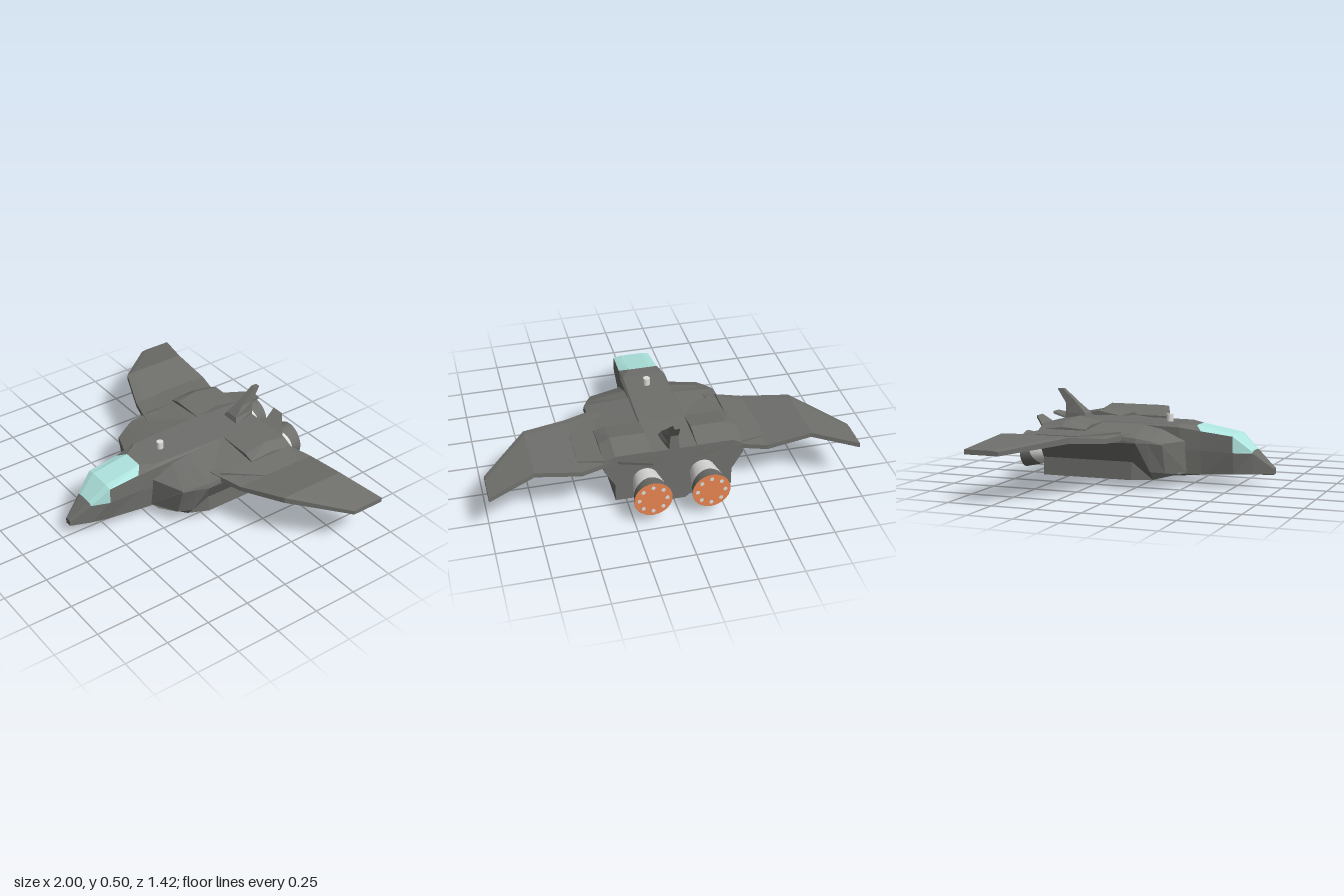
import * as THREE from 'three';

const material = (name, color) => {
  const m = new THREE.MeshStandardMaterial({ color });
  m.name = name;
  return m;
};

// Joins equal-length point loops into a closed, faceted solid.
// pick(i, j) gives the material index of the face after loop i, point j.
function loft(name, loops, materials, pick = () => 0) {
  const lists = materials.map(() => []);
  const n = loops[0].length;
  let volume = 0;
  const tri = (k, a, b, c) => {
    const [A, B, C] = [a, b, c].map((p) => new THREE.Vector3(...p));
    volume += A.dot(B.clone().cross(C));
    lists[k].push([a, b, c]);
  };
  for (let i = 0; i < loops.length - 1; i++) {
    for (let j = 0; j < n; j++) {
      const k = pick(i, j), j2 = (j + 1) % n;
      tri(k, loops[i][j], loops[i][j2], loops[i + 1][j2]);
      tri(k, loops[i][j], loops[i + 1][j2], loops[i + 1][j]);
    }
  }
  const last = loops[loops.length - 1];
  for (let j = 1; j < n - 1; j++) {
    tri(0, loops[0][0], loops[0][j + 1], loops[0][j]);
    tri(0, last[0], last[j], last[j + 1]);
  }
  const geometry = new THREE.BufferGeometry();
  const positions = [];
  lists.forEach((list, k) => {
    geometry.addGroup(positions.length / 3, list.length * 3, k);
    for (const [a, b, c] of list) positions.push(...a, ...(volume > 0 ? [...b, ...c] : [...c, ...b]));
  });
  geometry.setAttribute('position', new THREE.Float32BufferAttribute(positions, 3));
  geometry.computeVertexNormals();
  const mesh = new THREE.Mesh(geometry, materials);
  mesh.name = name;
  return mesh;
}

export function createModel() {
  const hull = material('hull grey', 0x6f706c);
  const belly = material('belly light grey', 0xc0c0be);
  const glass = material('canopy glass', 0xb0e6e0);
  const metal = material('bare metal', 0xdededc);
  const glow = material('engine orange', 0xe78450);
  const model = new THREE.Group();
  model.name = 'spacecraft';

  // Fuselage: z, then half outline from keel to spine (x, y, optional z shift)
  const stations = [
    [0.71, [[0.017, 0.075], [0.02, 0.077], [0.02, 0.095], [0.02, 0.105], [0.015, 0.11]]],
    [0.6, [[0.058, 0.075], [0.062, 0.077], [0.065, 0.192], [0.062, 0.2], [0.04, 0.205]]],
    [0.5, [[0.08, 0.073], [0.085, 0.075], [0.105, 0.195], [0.105, 0.285], [0.065, 0.293]]],
    [0.32, [[0.095, 0.064], [0.102, 0.066], [0.115, 0.2], [0.113, 0.307], [0.06, 0.333, -0.04]]],
    [0.2, [[0.08, 0.05], [0.118, 0.065], [0.13, 0.2], [0.13, 0.325], [0.115, 0.339]]],
    [-0.27, [[0.065, 0.004], [0.125, 0.05], [0.13, 0.2], [0.13, 0.335], [0.127, 0.341]]],
    [-0.53, [[0.065, 0], [0.125, 0.05], [0.13, 0.2], [0.13, 0.33], [0.127, 0.335]]],
  ];
  const fuselage = stations.map(([z, half]) => [
    ...half.map(([x, y, dz = 0]) => [x, y, z + dz]),
    ...half.slice().reverse().map(([x, y, dz = 0]) => [-x, y, z + dz]),
  ]);
  const isGlass = (i, j) => (i === 1 && j >= 2 && j <= 6) || (i === 2 && j >= 3 && j <= 5);
  const isBelly = (i, j) => i >= 4 && (j === 0 || j >= 8);
  model.add(loft('fuselage', fuselage, [hull, glass, belly],
    (i, j) => (isGlass(i, j) ? 1 : isBelly(i, j) ? 2 : 0)));

  // Tail fin, stacked upward: y, front z, back z, front and back half width
  const fin = [
    [0.325, -0.385, -0.53, 0.062, 0.03],
    [0.365, -0.4, -0.53, 0.042, 0.026],
    [0.42, -0.46, -0.53, 0.022, 0.022],
    [0.5, -0.55, -0.585, 0.015, 0.015],
  ].map(([y, f, b, wf, wb]) => [[wf, y, f], [wb, y, b], [-wb, y, b], [-wf, y, f]]);
  model.add(loft('tailFin', fin, [hull]));

  // Antenna stub on the spine
  const antenna = new THREE.Mesh(new THREE.CylinderGeometry(0.02, 0.02, 0.045, 10), metal);
  antenna.position.set(0, 0.358, 0.1);
  antenna.name = 'antenna';
  model.add(antenna);

  for (const [side, s] of [['left', 1], ['right', -1]]) {
    const part = (name, loops) =>
      model.add(loft(side + name, loops.map((l) => l.map(([x, y, z]) => [s * x, y, z])), [hull]));

    // Engine body with a raked front
    part('EngineBody', [
      [[0.11, 0.075, 0.24], [0.17, 0.075, 0.225], [0.27, 0.09, 0.17], [0.32, 0.25, 0.17], [0.315, 0.257, 0.17], [0.11, 0.25, 0.24]],
      [[0.11, 0.05, 0.1], [0.27, 0.05, 0.1], [0.315, 0.1, 0.1], [0.353, 0.26, 0.1], [0.35, 0.275, 0.1], [0.11, 0.315, 0.1]],
      [[0.11, 0.05, -0.01], [0.32, 0.05, -0.01], [0.32, 0.15, 0], [0.38, 0.262, 0.04], [0.375, 0.288, 0.04], [0.11, 0.333, 0.0]],
      [[0.11, 0.05, -0.25], [0.32, 0.05, -0.25], [0.32, 0.15, -0.25], [0.38, 0.255, -0.25], [0.38, 0.315, -0.25], [0.11, 0.338, -0.25]],
      [[0.11, 0.05, -0.53], [0.32, 0.05, -0.53], [0.32, 0.15, -0.53], [0.38, 0.25, -0.53], [0.38, 0.29, -0.53], [0.11, 0.31, -0.53]],
    ]);

    // Raised rear deck: z, top height, edge height
    part('RearDeck', [[-0.25, 0.339, 0.322], [-0.39, 0.364, 0.33], [-0.53, 0.338, 0.31]].map(([z, top, edge]) => [
      [0.125, 0.28, z], [0.38, 0.28, z], [0.38, edge, z], [0.32, top, z], [0.125, top, z],
    ]));

    // Wing: x, front z, back z, top y, thickness
    part('Wing', [
      [0.3, -0.02, -0.53, 0.307, 0.034],
      [0.375, -0.04, -0.535, 0.305, 0.034],
      [0.505, -0.08, -0.57, 0.3, 0.03],
      [0.75, -0.18, -0.565, 0.335, 0.036],
      [1, -0.455, -0.648, 0.282, 0.026],
    ].map(([x, f, b, y, t]) => [[x, y - 0.004, f], [x, y, f - 0.04], [x, y, b], [x, y - 0.026, b], [x, y - t, f]]));

    // Low fairing over the wing root
    part('WingRootFairing', [
      [0.36, -0.05, -0.525, 0.318],
      [0.51, -0.25, -0.48, 0.304],
    ].map(([x, f, b, y]) => [[x, 0.285, f], [x, y, f], [x, y, b], [x, 0.285, b]]));

    // Upturned flap above the nozzle
    part('Flap', [0, 0.014].map((d) => [
      [0.12, 0.285 + d, -0.52], [0.32, 0.285 + d, -0.52], [0.145, 0.342 + d, -0.655], [0.07, 0.342 + d, -0.655],
    ]));

    // Nozzle: bare throat, grey skirt, orange burner plate with injectors
    const nozzle = new THREE.Group();
    nozzle.name = side + 'Nozzle';
    nozzle.position.set(s * 0.157, 0.166, 0);
    const cone = (name, r1, z1, r2, z2, mat) => {
      const g = new THREE.CylinderGeometry(r1, r2, z1 - z2, 28);
      g.rotateX(Math.PI / 2);
      g.translate(0, 0, (z1 + z2) / 2);
      const mesh = new THREE.Mesh(g, mat);
      mesh.name = name;
      nozzle.add(mesh);
      return mesh;
    };
    const seam = -0.635;
    const throat = cone('throat', 0.064, -0.5, 0.0875, seam, metal);
    const skirt = cone('skirt', 0.0875, seam, 0.104, -0.71, hull);
    // The seam sweeps back at the flanks and forward underneath
    for (const { geometry } of [throat, skirt]) {
      const p = geometry.attributes.position;
      for (let i = 0; i < p.count; i++) {
        if (Math.abs(p.getZ(i) - seam) > 0.001) continue;
        const up = p.getY(i) / 0.0875;
        const dz = -0.02 + 0.035 * up * up - 0.015 * up;
        const k = 1 - dz * 2.3;
        p.setXYZ(i, p.getX(i) * k, p.getY(i) * k, seam + dz);
      }
    }
    cone('burnerPlate', 0.103, -0.706, 0.103, -0.711, glow);
    for (let i = 0; i < 8; i++) {
      const a = (i / 8) * Math.PI * 2;
      const dot = cone('injector', 0.011, -0.709, 0.011, -0.713, metal);
      dot.position.set(0.075 * Math.cos(a), 0.075 * Math.sin(a), 0);
    }
    model.add(nozzle);
  }
  return model;
}
